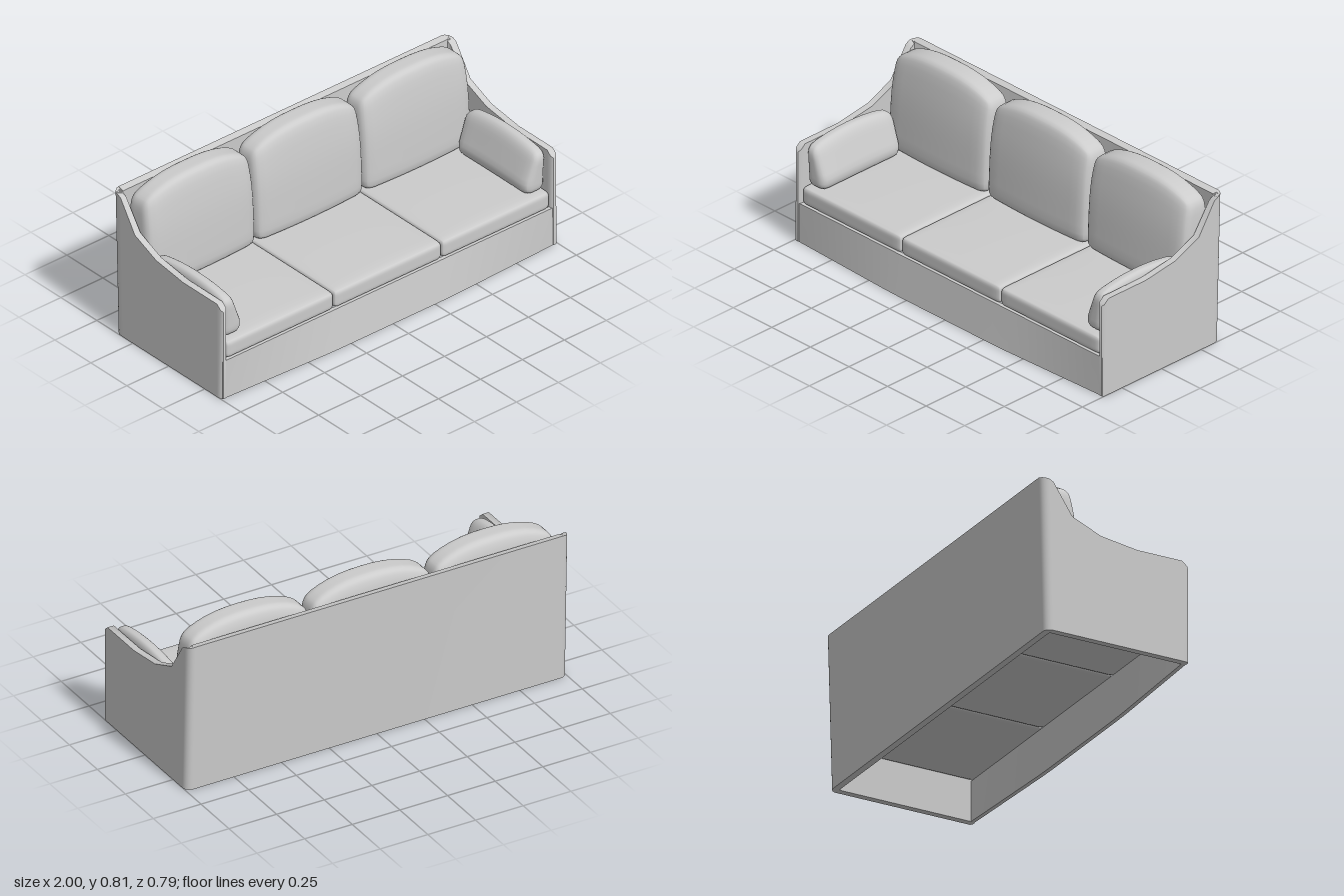
import * as THREE from 'three';
import { mergeVertices, toCreasedNormals } from 'three/addons/utils/BufferGeometryUtils.js';

const material = new THREE.MeshStandardMaterial({ color: 0xcccccc });

function makeMesh(name, geometry) {
  const mesh = new THREE.Mesh(geometry, material);
  mesh.name = name;
  return mesh;
}

function warp(geometry, rule) {
  const pos = geometry.attributes.position;
  const p = new THREE.Vector3();
  for (let i = 0; i < pos.count; i++) {
    p.fromBufferAttribute(pos, i);
    rule(p);
    pos.setXYZ(i, p.x, p.y, p.z);
  }
}

// Smooth padded box standing on y = 0, with rounded edges and a shaping rule
function cushion(w, h, d, r, shape) {
  let geo = new THREE.BoxGeometry(2, 2, 2, 16, 14, 14);
  geo.deleteAttribute('uv');
  geo.deleteAttribute('normal');
  geo = mergeVertices(geo);
  const half = new THREE.Vector3(w / 2, h / 2, d / 2);
  const inner = half.clone().subScalar(r);
  const outer = inner.clone().negate();
  const core = new THREE.Vector3();
  warp(geo, (p) => {
    // crowd the grid lines towards the edges, then round them
    for (const a of ['x', 'y', 'z']) p[a] = Math.sin(p[a] * Math.PI / 2) * half[a];
    core.copy(p).clamp(outer, inner);
    p.sub(core).setLength(r).add(core);
    p.y += h / 2;
    shape(p);
  });
  geo.computeVertexNormals();
  return geo;
}

// Arms and back as one wall swept round a U-shaped plan
function wallGeometry() {
  const thickness = 0.033, radius = 0.035;
  // stations along one arm: z, top height, inset that softens the front end
  const arm = [
    [0.37, 0.468, 0.009], [0.36, 0.478, 0], [0.335, 0.5, 0], [0.1, 0.5, 0],
    [-0.085, 0.527, 0], [-0.225, 0.59, 0], [-0.315, 0.74, 0],
  ];
  const half = arm.map(([z, y, inset]) => ({ x: 1 - inset, z, y, nx: 1, nz: 0, t: thickness - 2 * inset }));
  for (let i = 0; i <= 5; i++) {
    const a = (i / 5) * Math.PI / 2;
    const nx = Math.cos(a), nz = -Math.sin(a);
    half.push({ x: 1 - radius + radius * nx, z: -0.335 + radius * nz, y: 0.752 + 0.002 * i, nx, nz, t: thickness });
  }
  const path = [...half, ...half.map((s) => ({ ...s, x: -s.x, nx: -s.nx })).reverse()];
  const lean = (z, y) => z - 0.022 * (y / 0.76) * THREE.MathUtils.clamp(-z / 0.36, 0, 1);
  const rings = path.map((s) => {
    const ix = s.x - s.nx * s.t, iz = s.z - s.nz * s.t;
    const inTop = s.z < -0.3 ? s.y - 0.007 : s.y;
    return [
      [s.x, 0, s.z], [s.x, s.y, lean(s.z, s.y)],
      [ix, inTop, lean(iz, inTop)], [ix, 0, iz],
    ];
  });
  const verts = [];
  const quad = (a, b, c, d) => verts.push(...a, ...b, ...c, ...a, ...c, ...d);
  for (let i = 0; i < rings.length - 1; i++) {
    for (let k = 0; k < 4; k++) {
      const m = (k + 1) % 4;
      quad(rings[i][k], rings[i + 1][k], rings[i + 1][m], rings[i][m]);
    }
  }
  quad(...rings[0]);
  quad(...rings[rings.length - 1].slice().reverse());
  const geo = new THREE.BufferGeometry();
  geo.setAttribute('position', new THREE.Float32BufferAttribute(verts, 3));
  return toCreasedNormals(geo, 0.8);
}

// Front rail, bowed outwards at its foot
function railGeometry() {
  const geo = new THREE.BoxGeometry(1.99, 0.2, 0.02, 20, 2, 1);
  warp(geo, (p) => {
    p.y += 0.1;
    const bow = Math.min(1, (1 - Math.abs(p.x)) / 0.65);
    p.z += 0.3565 + 0.028 * bow * (1 - p.y / 0.2);
  });
  return toCreasedNormals(geo, 0.6);
}

export function createModel() {
  const model = new THREE.Group();
  model.name = 'sofa';
  model.add(makeMesh('armsAndBack', wallGeometry()));
  model.add(makeMesh('frontRail', railGeometry()));

  const seatGeo = cushion(0.643, 0.094, 0.7, 0.024, (p) => {
    const crown = (1 - (p.x / 0.3215) ** 2) * (1 - (p.z / 0.35) ** 2);
    if (p.y > 0.047) p.y += 0.006 * crown;
  });

  const backGeo = cushion(0.642, 0.53, 0.195, 0.05, (p) => {
    const u = Math.abs(p.x) / 0.321, v = p.y / 0.53;
    const front = THREE.MathUtils.clamp(p.z / 0.195 + 0.5, 0, 1);
    // arched top with narrowing shoulders
    p.y -= 0.07 * u ** 2.6 * v ** 3;
    p.x *= 1 - 0.045 * v ** 4;
    // face falls back towards the top and swells at the middle
    const t = Math.max(0, (v - 0.45) / 0.55);
    p.z -= front * (0.012 * Math.min(1, v * 2) + 0.04 * t ** 1.5 + 0.014 * u * u);
    p.z += (1 - front) * 0.02 * v ** 8;
  });

  for (const [i, side] of ['right', 'middle', 'left'].entries()) {
    const x = (i - 1) * 0.643;
    const seat = makeMesh(side + 'SeatCushion', seatGeo);
    seat.position.set(x, 0.197, 0.0125);
    const back = makeMesh(side + 'BackCushion', backGeo);
    back.position.set(x, 0.285, -0.249);
    model.add(seat, back);
  }

  // Bolsters leaning against the arms
  for (const s of [1, -1]) {
    const geo = cushion(0.12, 0.24, 0.5, 0.045, (p) => {
      const v = p.y / 0.24, e = p.z / 0.25;
      const rise = Math.max(0, v - 0.28);
      p.x *= 1 - 0.65 * rise;
      p.x = s * (p.x + 0.042 * rise);
      p.y *= 1 - 0.13 * e * e;
    });
    // the mirrored copy needs its corner order reversed
    if (s < 0) {
      geo.index.array.reverse();
      geo.computeVertexNormals();
    }
    const bolster = makeMesh(s > 0 ? 'leftBolster' : 'rightBolster', geo);
    bolster.position.set(s * 0.903, 0.288, 0.088);
    model.add(bolster);
  }
  return model;
}
